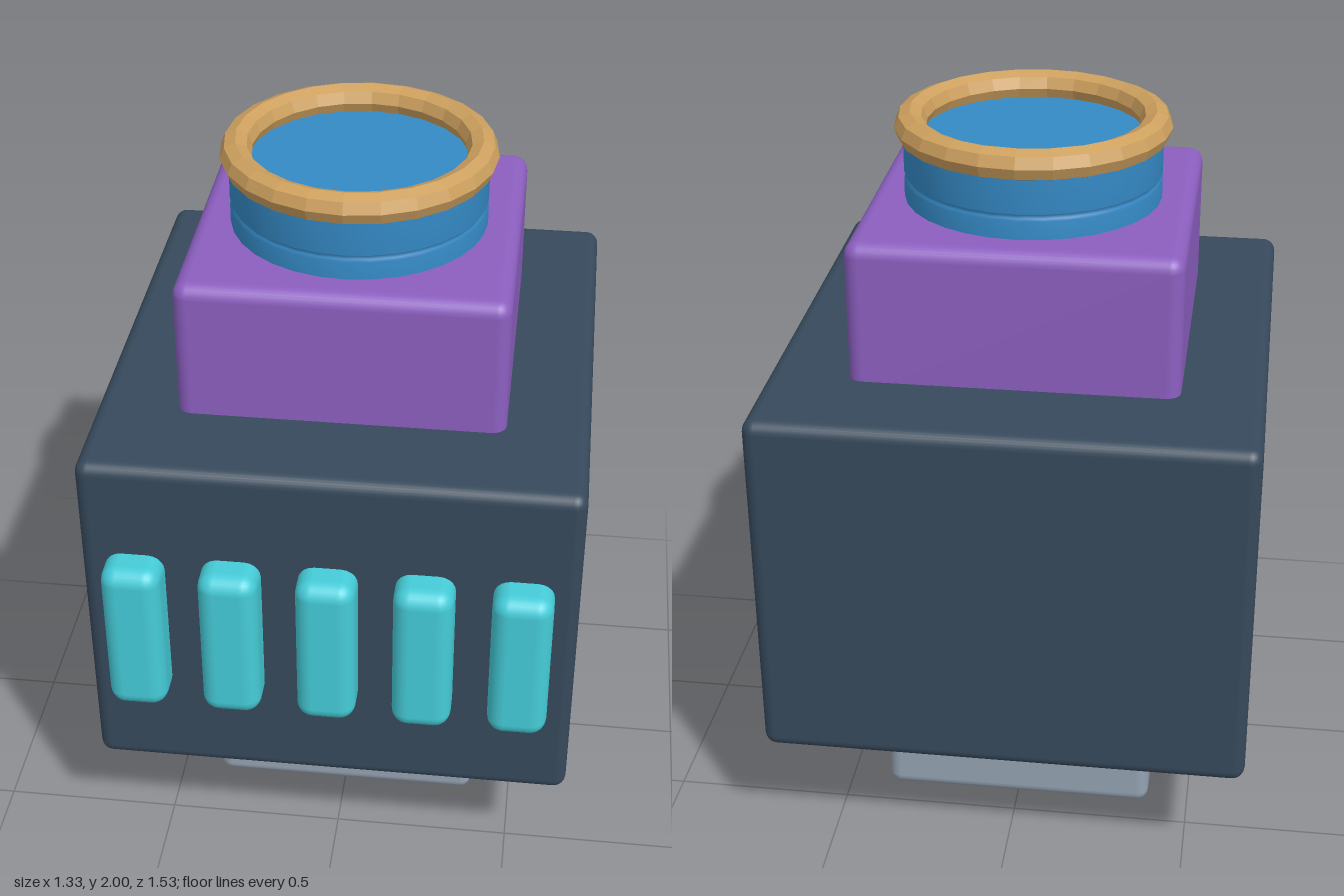
import * as THREE from 'three';
import { RoundedBoxGeometry } from 'three/addons/geometries/RoundedBoxGeometry.js';

const mat = (name, color, extra = {}) => {
  const m = new THREE.MeshStandardMaterial({ color, ...extra });
  m.name = name;
  return m;
};

export function createModel() {
  const group = new THREE.Group();
  const navy = mat('slate navy', 0x36495b);
  const purple = mat('purple', 0x8c5fc0);
  const blue = mat('blue', 0x358ac6);
  const teal = mat('turquoise', 0x45ccd8);
  const gold = mat('gold', 0xcda05e, { flatShading: true });
  const goldSmooth = mat('gold smooth', 0xcda05e);
  const grey = mat('steel grey', 0x94a2b1);
  const axisZ = -0.048;

  const add = (name, geometry, material, x, y, z) => {
    const mesh = new THREE.Mesh(geometry, material);
    mesh.name = name;
    mesh.position.set(x, y, z);
    group.add(mesh);
    return mesh;
  };
  // Rounded block given by its width, bottom, top, depth and edge radius
  const block = (name, material, w, y0, y1, d, r, x = 0, z = axisZ) =>
    add(name, new RoundedBoxGeometry(w, y1 - y0, d, 3, r), material, x, (y0 + y1) / 2, z);

  // Stacked blocks
  block('base', grey, 0.77, 0.005, 0.26, 0.77, 0.035);
  block('body', navy, 1.325, 0.365, 1.375, 1.434, 0.035);
  block('upperHousing', purple, 0.88, 1.3, 1.76, 0.885, 0.04);

  // Neck between base and body
  add('neck', new THREE.CylinderGeometry(0.205, 0.205, 0.16, 32), goldSmooth, 0, 0.31, axisZ);

  // Row of front ribs
  for (let i = -2; i <= 2; i++) {
    block('frontRib', teal, 0.16, 0.64, 1.1, 0.17, 0.045, i * 0.258, 0.68);
  }

  // Round collar with a shallow groove and a flat top
  const profile = [[0.35, 1.74], [0.35, 1.81], [0.343, 1.815], [0.343, 1.825], [0.35, 1.83], [0.35, 1.93]]
    .map(([r, y]) => new THREE.Vector2(r, y));
  add('collar', new THREE.LatheGeometry(profile, 32), blue, 0, 0, axisZ);
  const cap = add('collarTop', new THREE.CircleGeometry(0.35, 32), blue, 0, 1.93, axisZ);
  cap.rotation.x = -Math.PI / 2;

  // Faceted rim ring
  const rim = add('rim', new THREE.TorusGeometry(0.331, 0.043, 8, 24), gold, 0, 1.957, axisZ);
  rim.rotation.x = -Math.PI / 2;

  return group;
}
